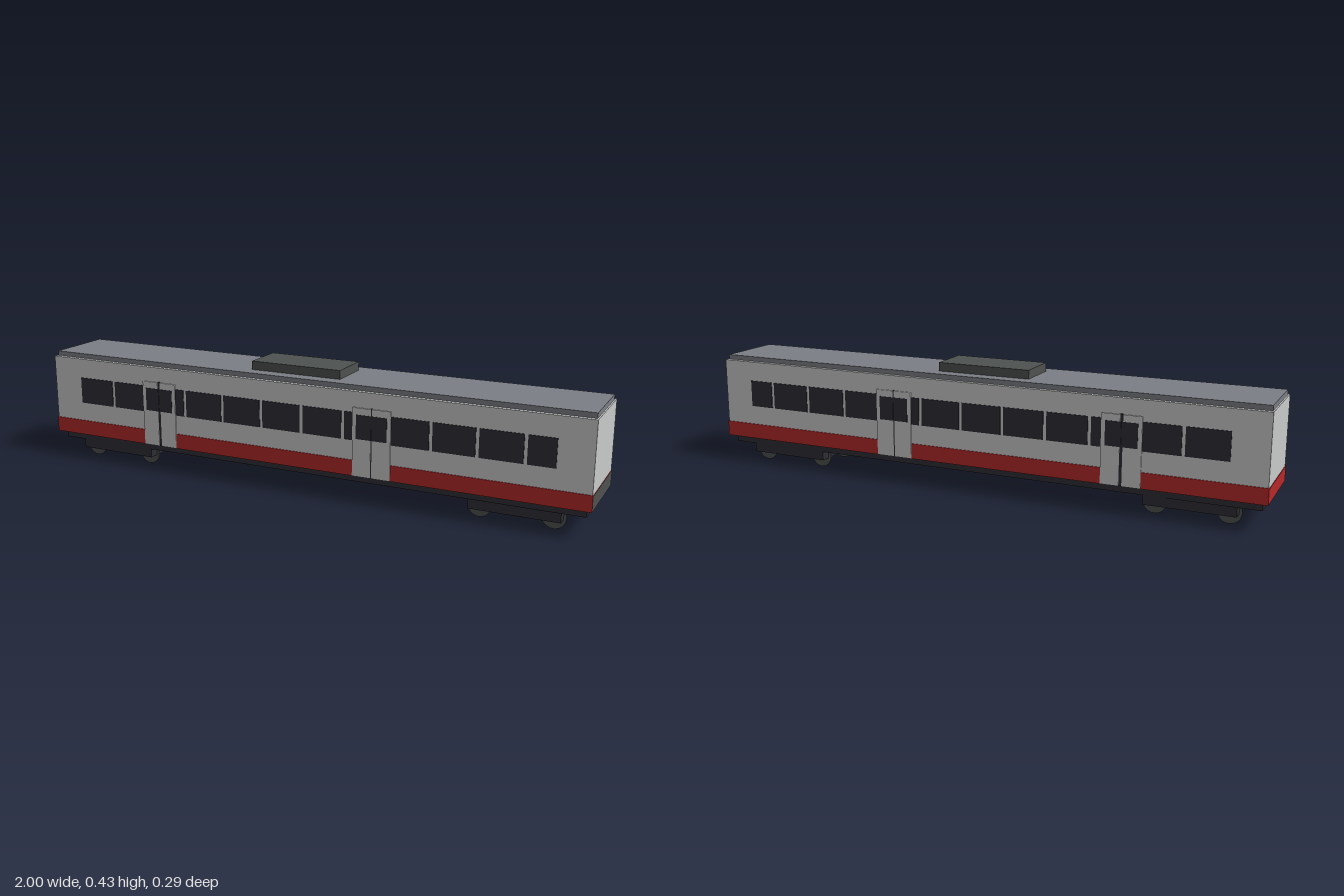
import * as THREE from 'three';

const mat = (name, color) => {
  const m = new THREE.MeshStandardMaterial({ color });
  m.name = name;
  return m;
};

export function createModel() {
  const model = new THREE.Group();
  model.name = 'railCar';
  const white = mat('bodyLightGrey', 0xcacccb);
  const red = mat('stripeRed', 0xb52a2a);
  const dark = mat('darkBlueGrey', 0x2d2d36);
  const roofGrey = mat('roofGrey', 0x7c8086);
  const grey = mat('equipmentGrey', 0x4e5251);

  // Box given by its limits on each axis
  const box = (name, m, x0, x1, y0, y1, z0, z1, parent = model) => {
    const mesh = new THREE.Mesh(new THREE.BoxGeometry(x1 - x0, y1 - y0, z1 - z0), m);
    mesh.position.set((x0 + x1) / 2, (y0 + y1) / 2, (z0 + z1) / 2);
    mesh.name = name;
    parent.add(mesh);
    return mesh;
  };

  // Body, roof and underframe; the lower body has one grey end
  box('upperBody', white, -0.998, 0.998, 0.145, 0.383, -0.139, 0.139);
  box('lowerBody', [grey, red, red, red, red, red], -1, 1, 0.096, 0.147, -0.139, 0.139);
  box('roof', roofGrey, -0.993, 0.993, 0.383, 0.4, -0.124, 0.124);
  box('roofUnit', grey, -0.193, 0.14, 0.4, 0.43, -0.076, 0.076);
  box('underframe', dark, -0.98, 0.98, 0.068, 0.096, -0.114, 0.114);

  // Side details, repeated on both sides
  const doors = [{ x: -0.537, seam: 0.005 }, { x: 0.283, seam: 0.002 }];
  const half = 0.067;
  for (const s of [1, -1]) {
    const side = new THREE.Group();
    side.name = s > 0 ? 'frontSide' : 'backSide';
    model.add(side);
    const plate = (name, m, x0, x1, y0, y1, depth) => {
      const a = s * 0.138, b = s * depth;
      box(name, m, x0, x1, y0, y1, Math.min(a, b), Math.max(a, b), side);
    };

    // Red stripe between the doors
    const stops = [-1, doors[0].x - half, doors[0].x + half, doors[1].x - half, doors[1].x + half, 1];
    for (let i = 0; i < 6; i += 2) plate('stripe', red, stops[i], stops[i + 1], 0.096, 0.15, 0.142);

    // Window row, cut where the doors stand
    const pitch = 0.1525, gap = 0.0055;
    for (let i = 0; i < 12; i++) {
      const a = Math.max(-0.88, -0.8875 + pitch * (i - 0) + gap);
      const b = Math.min(0.885, -0.8875 + pitch * (i + 1) - gap);
      let pieces = [[a, b]];
      for (const d of doors) {
        const l = d.x - half, r = d.x + half;
        pieces = pieces.flatMap(([p, q]) => (q <= l || p >= r ? [[p, q]] : [[p, Math.min(q, l)], [Math.max(p, r), q]]));
      }
      for (const [p, q] of pieces) if (q - p > 0.008) plate('window', dark, p, q, 0.218, 0.313, 0.1415);
    }

    // Double doors: two leaves, dark seam and glass
    for (const d of doors) {
      plate('doorSeam', dark, d.x - d.seam, d.x + d.seam, 0.098, 0.332, 0.1425);
      for (const h of [-1, 1]) {
        const a = d.x + h * d.seam, b = d.x + h * half, g = d.x + h * 0.054;
        plate('doorLeaf', white, Math.min(a, b), Math.max(a, b), 0.096, 0.33, 0.1435);
        plate('doorWindow', dark, Math.min(d.x + h * 0.001, g), Math.max(d.x + h * 0.001, g), 0.225, 0.307, 0.1448);
      }
    }
  }

  // Bogies with two wheelsets each
  const wheelGeo = new THREE.CylinderGeometry(0.04, 0.04, 0.006, 24).rotateX(Math.PI / 2);
  for (const x of [-0.753, 0.753]) {
    const bogie = new THREE.Group();
    bogie.name = 'bogie';
    bogie.position.x = x;
    model.add(bogie);
    box('bogieFrame', dark, -0.15, 0.15, 0.035, 0.068, -0.11, 0.11, bogie);
    for (const dx of [-0.12, 0.12]) for (const z of [-0.072, 0.072]) {
      const wheel = new THREE.Mesh(wheelGeo, grey);
      wheel.name = 'wheel';
      wheel.position.set(dx, 0.04, z);
      bogie.add(wheel);
    }
  }
  return model;
}
